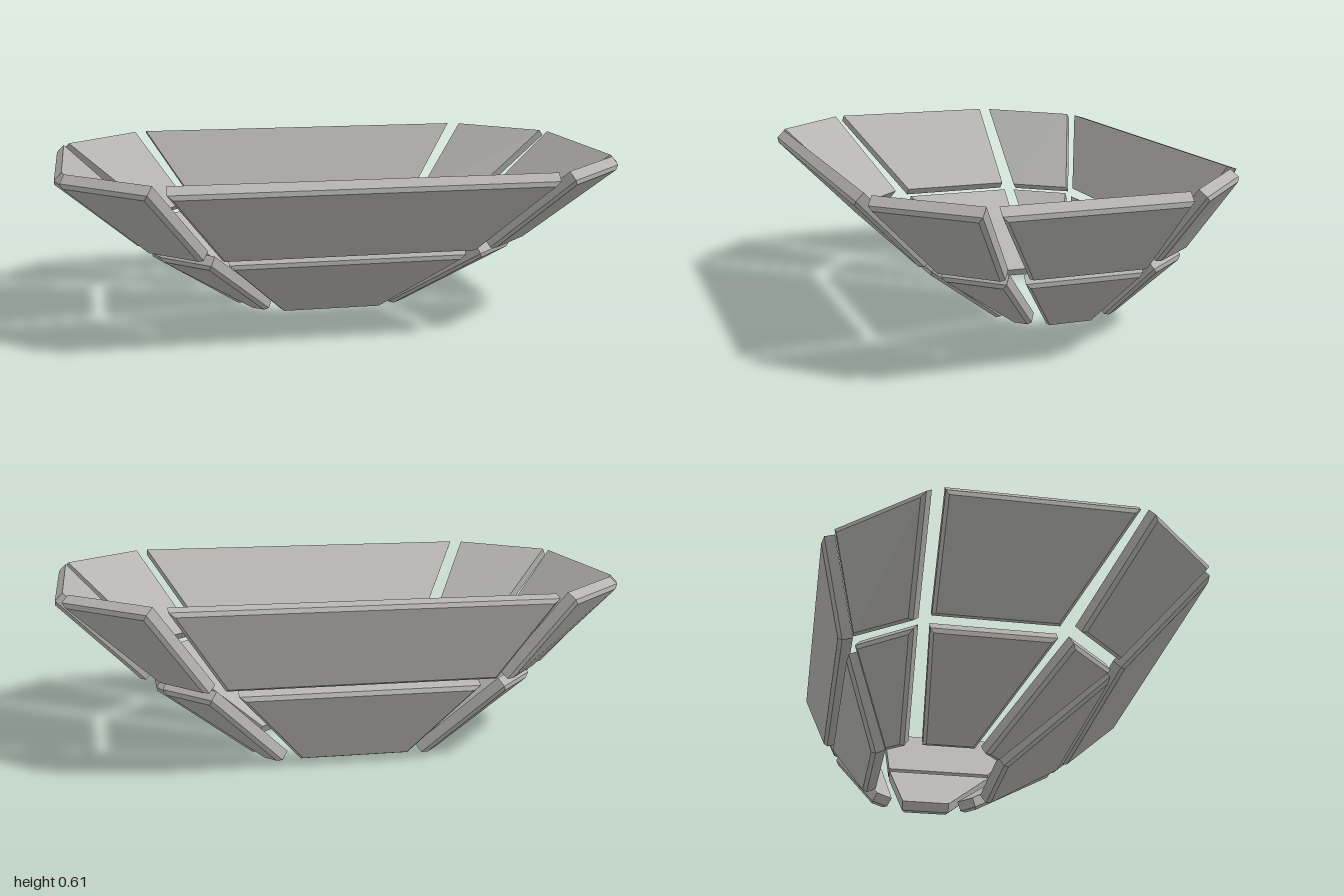
import * as THREE from 'three';

const WALL = 0.037;    // straight part of the panel thickness
const CHAMFER = 0.012; // bevel round the outer face

// A flat armour panel: inner quad, square walls, chamfer, smaller outer face.
function panelGeometry(corners) {
  let inner = corners.map((p) => new THREE.Vector3(...p));
  const getNormal = (q) => q[2].clone().sub(q[0]).cross(q[3].clone().sub(q[1])).normalize();
  if (getNormal(inner).y > 0) inner.reverse(); // outside always faces downward
  const n = getNormal(inner);

  const rim = inner.map((p) => p.clone().addScaledVector(n, WALL));
  const outer = rim.map((p, i) => {
    const a = rim[(i + 1) % 4].clone().sub(p).normalize();
    const b = rim[(i + 3) % 4].clone().sub(p).normalize();
    const sine = a.clone().cross(b).length();
    return p.clone().addScaledVector(a.add(b), CHAMFER / sine).addScaledVector(n, CHAMFER);
  });

  const positions = [];
  const quad = (a, b, c, d) => [a, b, c, a, c, d].forEach((p) => positions.push(p.x, p.y, p.z));
  quad(...outer);
  quad(inner[3], inner[2], inner[1], inner[0]);
  for (let i = 0; i < 4; i++) {
    const j = (i + 1) % 4;
    quad(inner[i], inner[j], rim[j], rim[i]);
    quad(rim[i], rim[j], outer[j], outer[i]);
  }
  const geometry = new THREE.BufferGeometry();
  geometry.setAttribute('position', new THREE.Float32BufferAttribute(positions, 3));
  geometry.computeVertexNormals();
  return geometry;
}

// Inner-face corners as [x, z]: two along the top edge, two along the bottom edge.
const RINGS = [
  {
    name: 'upper', top: 0.6, bottom: 0.315,
    front: [[-0.65, 0.643], [0.65, 0.643], [0.45, 0.365], [-0.45, 0.365]],
    back: [[-0.645, -0.633], [0.645, -0.633], [0.46, -0.547], [-0.46, -0.547]],
    side: [[0.974, 0.32], [0.974, -0.31], [0.68, -0.31], [0.68, 0.115]],
    frontCorner: [[0.693, 0.63], [0.965, 0.357], [0.668, 0.175], [0.495, 0.35]],
    backCorner: [[0.955, -0.348], [0.69, -0.618], [0.49, -0.53], [0.635, -0.345]],
  },
  {
    name: 'lower', top: 0.291, bottom: 0.028,
    front: [[-0.425, 0.335], [0.425, 0.335], [0.19, 0], [-0.19, 0]],
    back: [[-0.415, -0.522], [0.415, -0.522], [0.19, -0.4], [-0.19, -0.4]],
    side: [[0.65, 0.115], [0.65, -0.31], [0.3, -0.285], [0.3, -0.105]],
    frontCorner: [[0.47, 0.33], [0.638, 0.16], [0.275, -0.075], [0.22, -0.025]],
    backCorner: [[0.635, -0.345], [0.485, -0.525], [0.23, -0.39], [0.28, -0.33]],
  },
];

export function createModel() {
  const model = new THREE.Group();
  model.name = 'panelledBowl';
  const grey = new THREE.MeshStandardMaterial({ color: 0xb5b4b0 });
  grey.name = 'plateGrey';

  for (const ring of RINGS) {
    const group = new THREE.Group();
    group.name = `${ring.name}Ring`;
    model.add(group);

    const addPanel = (name, points, mirror = 1) => {
      const corners = points.map(([x, z], i) => [x * mirror, i < 2 ? ring.top : ring.bottom, z]);
      const mesh = new THREE.Mesh(panelGeometry(corners), grey);
      mesh.name = name;
      group.add(mesh);
    };

    // Single panels on the centre line
    addPanel(`${ring.name}FrontPanel`, ring.front);
    addPanel(`${ring.name}BackPanel`, ring.back);

    // Mirrored panels on both flanks
    for (const [label, mirror] of [['Left', 1], ['Right', -1]]) {
      addPanel(`${ring.name}${label}SidePanel`, ring.side, mirror);
      addPanel(`${ring.name}${label}FrontCornerPanel`, ring.frontCorner, mirror);
      addPanel(`${ring.name}${label}BackCornerPanel`, ring.backCorner, mirror);
    }
  }
  return model;
}
